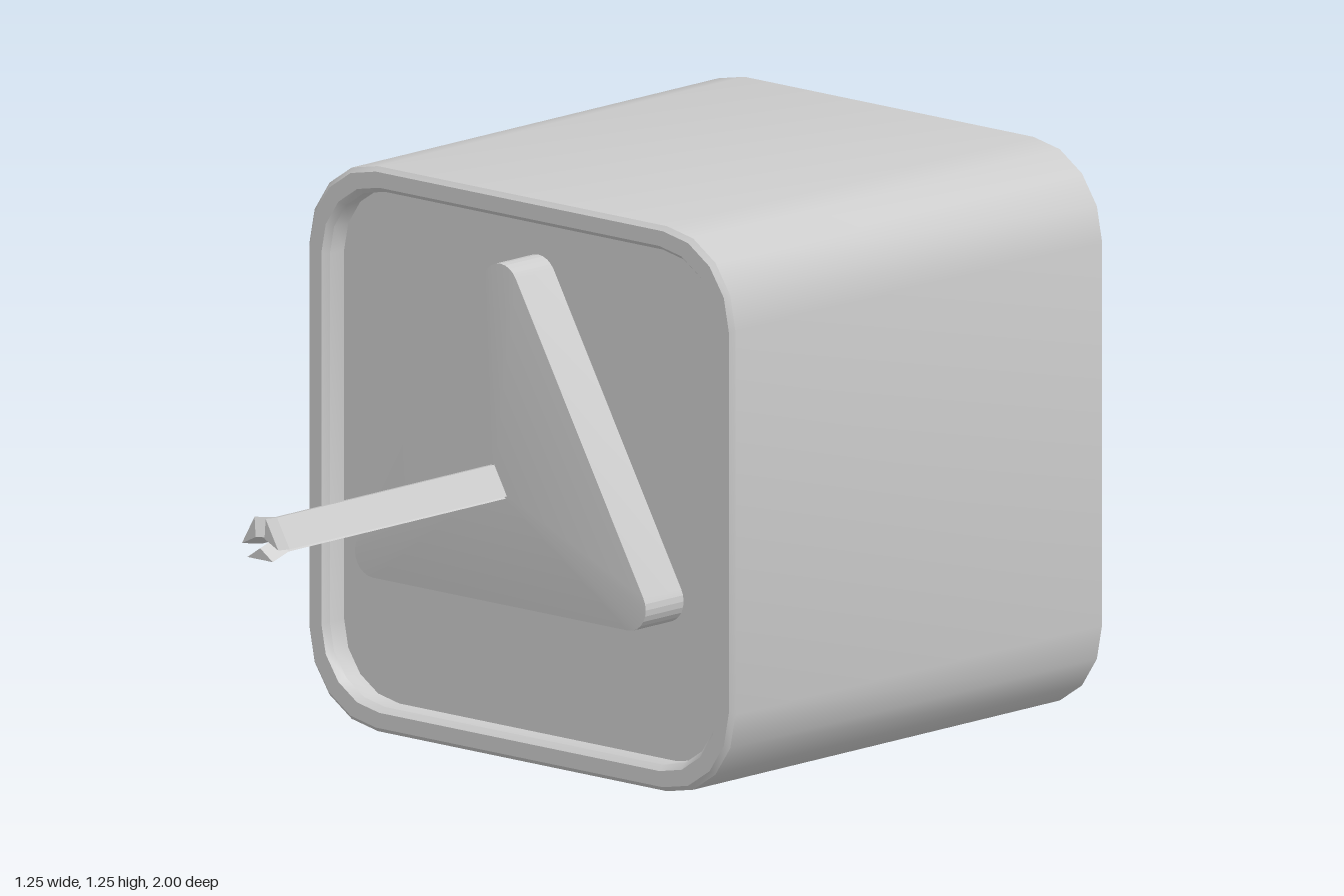
import * as THREE from 'three';
import { toCreasedNormals } from 'three/addons/utils/BufferGeometryUtils.js';

const material = new THREE.MeshStandardMaterial({ color: 0xcccccc });

// Outline of equal-radius arcs around the given centres, counter-clockwise
function roundedOutline(centres, radius, segments, startAngle) {
  const step = (Math.PI * 2) / centres.length;
  return centres.flatMap(([x, y], i) =>
    Array.from({ length: segments + 1 }, (_, s) => {
      const a = startAngle + step * (i + s / segments);
      return [x + radius * Math.cos(a), y + radius * Math.sin(a)];
    }));
}

// Skin a list of { points, z } rings; ends close to a centre point
function loft(name, rings, centre, endZ = rings[rings.length - 1].z, crease = 0.5) {
  const n = rings[0].points.length;
  const positions = rings.flatMap(r => r.points.flatMap(([x, y]) => [x, y, r.z]));
  const start = rings.length * n;
  positions.push(...centre, rings[0].z, ...centre, endZ);
  const index = [];
  for (let j = 0; j < n; j++) {
    const j2 = (j + 1) % n;
    for (let k = 0; k < rings.length - 1; k++) {
      const a = k * n + j, b = k * n + j2;
      index.push(a, b, b + n, a, b + n, a + n);
    }
    const last = (rings.length - 1) * n;
    index.push(start, j2, j, start + 1, last + j, last + j2);
  }
  const geometry = new THREE.BufferGeometry();
  geometry.setAttribute('position', new THREE.Float32BufferAttribute(positions, 3));
  geometry.setIndex(index);
  const mesh = new THREE.Mesh(toCreasedNormals(geometry, crease), material);
  mesh.name = name;
  return mesh;
}

export function createModel() {
  const group = new THREE.Group();
  group.name = 'boxWithSpindle';

  // Rounded square housing with a raised rim around both recessed panels
  const half = 0.6225;
  const square = inset => {
    const radius = 0.2 - inset * 0.7;
    const c = half - inset - radius;
    return roundedOutline(
      [[c, half + c], [-c, half + c], [-c, half - c], [c, half - c]], radius, 4, 0);
  };
  const profile = [
    [0.055, -0.94], [0.055, -0.985], [0.044, -1], [0.01, -1], [0, -0.99],
    [0, 0.17], [0.01, 0.18], [0.044, 0.18], [0.055, 0.165], [0.055, 0.12],
  ];
  group.add(loft('housing',
    profile.map(([inset, z]) => ({ points: square(inset), z })), [0, half]));

  // Triangular plate with a shallow pyramid face
  const centreY = 0.625;
  const triangle = roundedOutline(
    [[0.373, 0.41], [0, 1.056], [-0.373, 0.41]], 0.052, 8, -Math.PI / 2);
  group.add(loft('triangularPlate',
    [{ points: triangle, z: 0.11 }, { points: triangle, z: 0.24 }], [0, centreY], 0.265, 0.2));

  // Three-part spindle: wedge prongs that spread apart at the tip
  const spindle = new THREE.Group();
  spindle.name = 'spindle';
  spindle.position.y = centreY;
  for (let i = 0; i < 3; i++) {
    const wedge = shift => [[0, -shift], [-0.037, -0.025 - shift], [0.037, -0.025 - shift]];
    const prong = loft('prong', [
      { points: wedge(0), z: 0.24 },
      { points: wedge(0), z: 0.95 },
      { points: wedge(0.015), z: 1 },
    ], [0, -0.018], 1, 0.1);
    // keep the end cap centre inside the spread wedge
    prong.rotation.z = (i * Math.PI * 2) / 3;
    spindle.add(prong);
  }
  group.add(spindle);
  return group;
}
